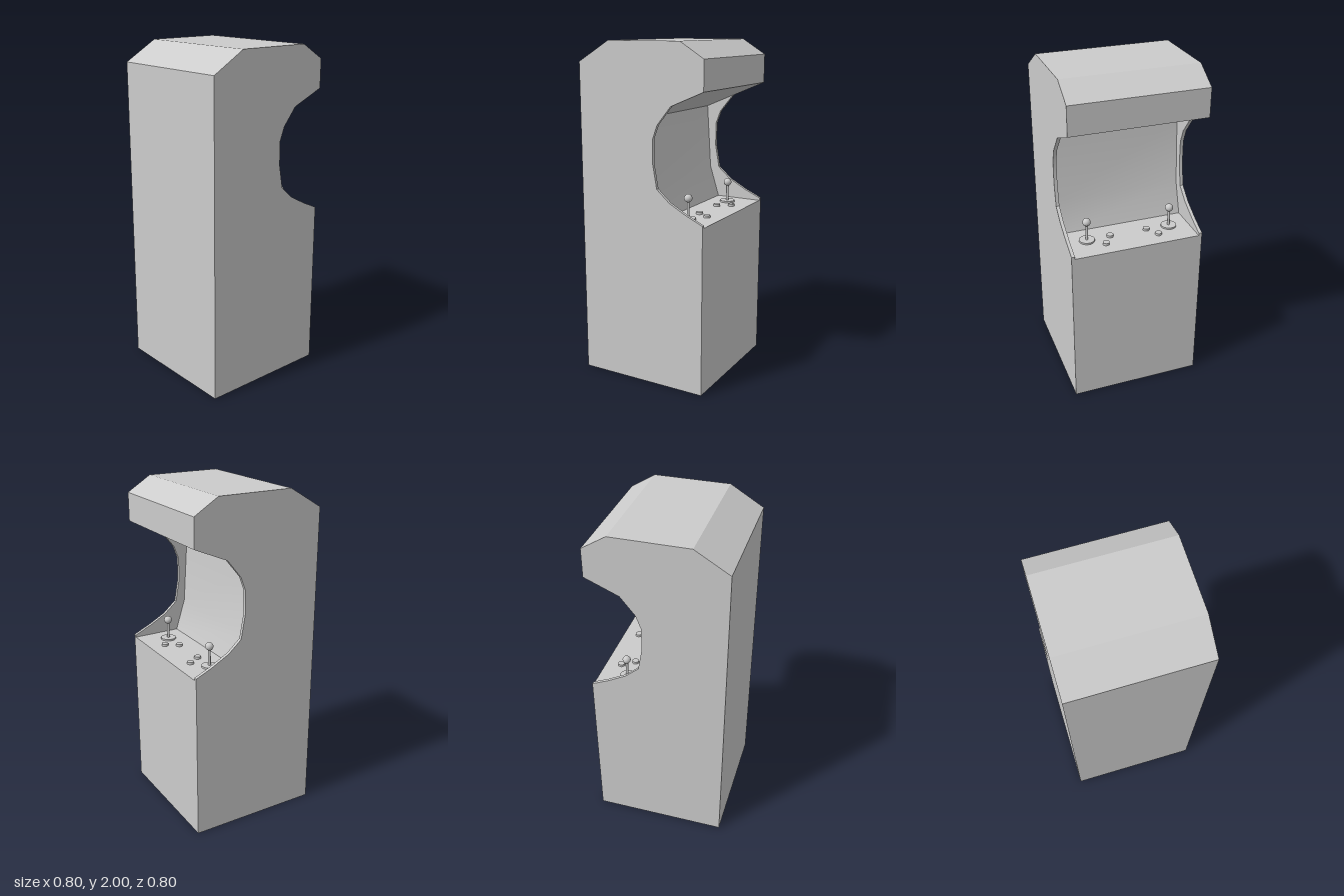
import * as THREE from 'three';
import { toCreasedNormals } from 'three/addons/utils/BufferGeometryUtils.js';

const material = new THREE.MeshStandardMaterial({ color: 0xcccccc });
const HALF = 0.4;        // half depth of the cabinet
const PANEL = 0.02;      // side panel thickness
const DECK = 1.0;        // control deck height

// Outline shared by the core and the panels, closed by the given recess curve
function cabinetShape(recess) {
  const points = [
    [-0.4, 0], [0.4, 0],
    ...recess,
    [0.4, 1.74], [0.4, 1.91], [0.255, 2], [-0.2, 2], [-0.4, 1.88],
  ];
  return new THREE.Shape(points.map(([x, y]) => new THREE.Vector2(x, y)));
}

function addMesh(parent, name, geometry, x = 0, y = 0, z = 0) {
  const mesh = new THREE.Mesh(geometry, material);
  mesh.name = name;
  mesh.position.set(x, y, z);
  parent.add(mesh);
  return mesh;
}

function extrude(shape, depth) {
  const geometry = new THREE.ExtrudeGeometry(shape, { depth, bevelEnabled: false });
  return toCreasedNormals(geometry, 0.45);
}

// Joystick: base disc, shaft and ball
function createJoystick() {
  const joystick = new THREE.Group();
  addMesh(joystick, 'joystickBase', new THREE.CylinderGeometry(0.046, 0.046, 0.01, 24), 0, 0.005, 0);
  addMesh(joystick, 'joystickShaft', new THREE.CylinderGeometry(0.008, 0.008, 0.12, 12), 0, 0.06, 0);
  addMesh(joystick, 'joystickBall', new THREE.SphereGeometry(0.024, 20, 14), 0, 0.125, 0);
  return joystick;
}

export function createModel() {
  const cabinet = new THREE.Group();
  cabinet.name = 'arcadeCabinet';

  // Core between the panels: flat deck, leaning screen, sloped canopy
  const core = cabinetShape([
    [0.4, DECK], [0.11, DECK], [0.05, 1.19], [0.024, 1.58], [0.2, 1.655],
  ]);
  addMesh(cabinet, 'cabinetCore', extrude(core, 2 * (HALF - PANEL)), 0, 0, -HALF + PANEL);

  // Side panels with the curved cutout
  const panel = cabinetShape([
    [0.4, 1.015], [0.3, 1.06], [0.19, 1.12], [0.11, 1.19], [0.085, 1.33],
    [0.085, 1.47], [0.115, 1.55], [0.2, 1.655],
  ]);
  const panelGeometry = extrude(panel, PANEL);
  addMesh(cabinet, 'leftPanel', panelGeometry, 0, 0, -HALF);
  addMesh(cabinet, 'rightPanel', panelGeometry, 0, 0, HALF - PANEL);

  // Mirrored controls for two players
  const buttonGeometry = new THREE.CylinderGeometry(0.02, 0.02, 0.014, 20);
  for (const side of [1, -1]) {
    const controls = new THREE.Group();
    controls.name = side > 0 ? 'rightControls' : 'leftControls';
    controls.position.y = DECK;

    const joystick = createJoystick();
    joystick.name = 'joystick';
    joystick.position.set(0.233, 0, side * 0.257);
    controls.add(joystick);

    for (const [x, z] of [[0.231, 0.114], [0.305, 0.163]]) {
      addMesh(controls, 'button', buttonGeometry, x, 0.007, side * z);
    }
    cabinet.add(controls);
  }

  return cabinet;
}
